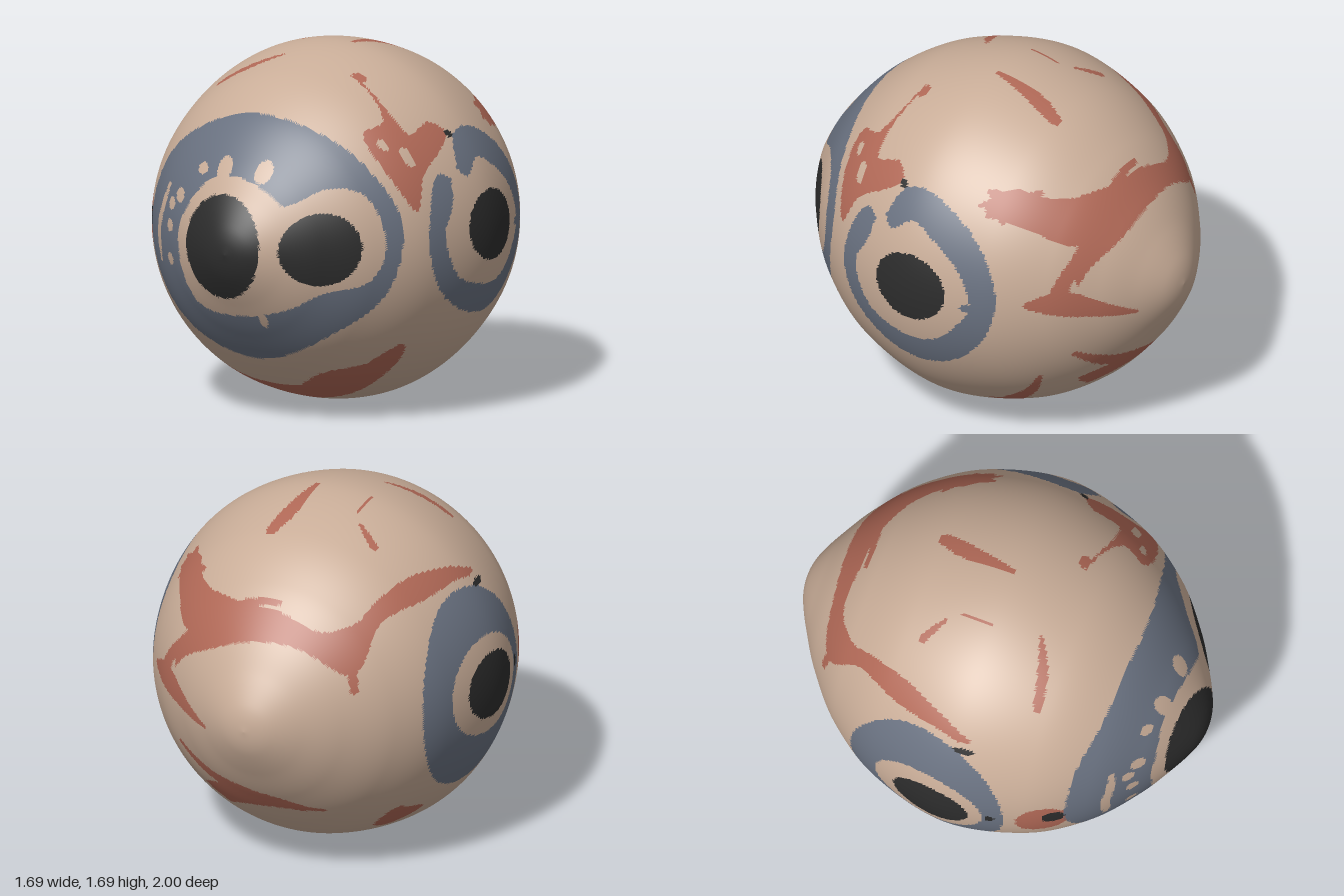
import * as THREE from 'three';

const CENTER_Y = 0.85;
const materials = {
  skin: new THREE.MeshStandardMaterial({ name: 'tan skin', color: 0xc9ad98 }),
  ring: new THREE.MeshStandardMaterial({ name: 'slate blue', color: 0x697180 }),
  pupil: new THREE.MeshStandardMaterial({ name: 'charcoal', color: 0x2c2c2c }),
  vein: new THREE.MeshStandardMaterial({ name: 'brick red', color: 0xb06856 }),
};
const partNames = { skin: 'body', ring: 'eyeRings', pupil: 'pupils', vein: 'veins' };

// A painting direction: axes for flat marks that are projected onto the body
function direction(azimuth, elevation) {
  const a = THREE.MathUtils.degToRad(azimuth), e = THREE.MathUtils.degToRad(elevation);
  return {
    facing: new THREE.Vector3(Math.sin(a) * Math.cos(e), Math.sin(e), Math.cos(a) * Math.cos(e)),
    right: new THREE.Vector3(Math.cos(a), 0, -Math.sin(a)),
    up: new THREE.Vector3(-Math.sin(a) * Math.sin(e), Math.cos(e), -Math.cos(a) * Math.sin(e)),
  };
}
const front = direction(0, 0), left = direction(90, 0), right = direction(-90, 0);
const top = direction(0, 90), backRight = direction(-145, 25), under = direction(145, -30);

// Marks are in hundredths of a unit around the body's centre; later ones cover earlier ones
const marks = [];

// Ellipse
function spot(dir, color, cu, cv, ru, rv) {
  marks.push({ dir, color, inside: (u, v) => ((u - cu) / ru) ** 2 + ((v - cv) / rv) ** 2 < 1 });
}

// Closed smooth outline through u, v pairs
function blob(dir, color, ...n) {
  const corners = [];
  for (let i = 0; i < n.length; i += 2) corners.push(new THREE.Vector3(n[i], n[i + 1], 0));
  const p = new THREE.CatmullRomCurve3(corners, true).getPoints(corners.length * 4);
  const inside = (u, v) => {
    let hit = false;
    for (let i = 0, j = p.length - 1; i < p.length; j = i++) {
      if ((p[i].y > v) !== (p[j].y > v) &&
        u < (p[j].x - p[i].x) * (v - p[i].y) / (p[j].y - p[i].y) + p[i].x) hit = !hit;
    }
    return hit;
  };
  marks.push({ dir, color, inside });
}

// Tapering brush stroke through u, v, half-width triples
function stroke(dir, color, ...n) {
  const knots = [];
  for (let i = 0; i < n.length; i += 3) knots.push(new THREE.Vector3(n[i], n[i + 1], n[i + 2]));
  const p = new THREE.CatmullRomCurve3(knots).getPoints(knots.length * 4);
  const inside = (u, v) => p.some((a, i) => {
    if (i === 0) return false;
    const b = p[i - 1], du = b.x - a.x, dv = b.y - a.y;
    const t = THREE.MathUtils.clamp(((u - a.x) * du + (v - a.y) * dv) / (du * du + dv * dv), 0, 1);
    return Math.hypot(u - a.x - t * du, v - a.y - t * dv) < a.z + t * (b.z - a.z);
  });
  marks.push({ dir, color, inside });
}

function paintVeins() {
  // front
  spot(front, 'vein', -71, 0, 6, 13);
  spot(front, 'pupil', -69, 3, 3, 5);
  stroke(front, 'vein', -45, -60, 1, -24, -70, 2.5, 0, -73, 3, 28, -68, 2, 58, -48, 1);
  spot(front, 'vein', -9, -79, 5, 4);
  // left side
  blob(left, 'vein', -28, 76, -38, 58, -50, 53, -52, 42, -44, 18, -36, 33, -12, 50, -19, 55, -32, 51, -33, 60);
  spot(left, 'skin', -46, 48, 2, 2.5);
  spot(left, 'skin', -39, 42, 2.5, 4.5);
  stroke(left, 'vein', 30, 54, 1, 42, 51, 3, 60, 48, 2.5, 71, 46, 4, 72, 30, 2, 69, 18, 2.5, 67, 6, 4);
  stroke(left, 'vein', 57, 5, 2, 68, 5, 6, 79, 0, 4, 90, -6, 1);
  // top
  stroke(top, 'vein', -66, -2, 1.5, -56, 30, 4, -45, 55, 3, -41, 69, 4, -15, 78, 2, 22, 79, 3, 46, 72, 2);
  stroke(top, 'vein', -4, 69, 1, 25, 71, 2, 42, 68, 2, 52, 52, 3, 62, 33, 1.5);
  stroke(top, 'vein', 44, 50, 1, 59, 39, 3);
  stroke(top, 'vein', -33, 29, 2, -23, 22, 1);
  stroke(top, 'vein', 15, 37, 3, 12, 26, 4, 9, 1, 1);
  stroke(top, 'vein', -43, -32, 2, -29, -29, 2.5, -15, -23, 1);
  spot(top, 'vein', -18.5, 8, 0.9, 8);
  spot(top, 'vein', 29, -27, 3.5, 2.5);
  // back
  stroke(backRight, 'vein', -66, 48, 2, -70, 36, 3, -61, 18, 8, -42, 17, 5, -20, 7, 2, 0, 10, 3, 14, 22, 3,
    30, 30, 3, 57, 33, 1.5);
  stroke(backRight, 'vein', -8, 6, 3, -6, -19, 2);
  stroke(backRight, 'vein', -75, -54, 2, -58, -62, 3, -26, -72, 1);
  // underneath
  stroke(under, 'vein', 3, 20, 1.5, 22, 8, 4, 41, 0, 4, 61, -20, 1);
  stroke(under, 'vein', -11, 3, 1, -12, -12, 3, -15, -32, 5, -7, -47, 1);
  spot(under, 'vein', -20, -35, 5, 3);
  stroke(under, 'vein', 67, -42, 1, 57, -53, 4, 50, -58, 1);
  stroke(under, 'vein', -70, -40, 1, -52, -63, 4, -25, -78, 3, -2, -82, 1);
}

function paintEyes() {
  // front ring with its ragged double opening and loose spots
  blob(front, 'ring', 2, 60, 42, 47, 67, 15, 62, -19, 39, -39, 0, -54.5, -45, -38, -66, -3, -56, 34, -26, 55);
  blob(front, 'skin', -34, 3, -28, 19, -16, 32, 0, 34, 18, 27, 24, 23, 40, 31, 54, 27, 63, 4, 57, -13,
    40, -18, 25, -26, 0, -31, -25, -27);
  for (const u of [-10.5, 10.5]) spot(front, 'skin', u, 37, 4.3, 5);
  spot(front, 'skin', 12, -32, 2, 4);
  spot(front, 'skin', -24, 35, 3.3, 2.5);
  spot(front, 'skin', -36, 21, 3.3, 3.3);
  for (const v of [16, 6, -10]) spot(front, 'skin', -42, v, 2.6, 3);
  stroke(front, 'skin', -47, 23, 1.2, -53, 3, 2, -52, -13, 1);
  spot(front, 'pupil', -5.5, 2, 21.5, 24.3);
  spot(front, 'pupil', 39.5, 3, 15.8, 17);

  // left ring, open at the upper front
  blob(left, 'ring', -40, 5, -32, -20, -8, -35, 18, -34, 39, -14, 44, 10, 32, 34, 5, 50, -9, 48, -19, 31,
    -29, 33);
  blob(left, 'skin', -31, 5, -23, -14, -8, -21, 13, -21, 26, -10, 33, 3, 25, 21, 9, 33, 0, 37, -11, 30,
    -19, 36, -24, 20);
  spot(left, 'ring', 31, 1.5, 2.5, 2);
  spot(left, 'pupil', 2.5, 5.5, 18.7, 16.5);
  spot(left, 'pupil', -11, 49, 2, 1.7);

  // right ring
  spot(right, 'ring', -11, 1, 40, 48);
  spot(right, 'skin', -8, 2.5, 27.5, 24);
  spot(right, 'pupil', -6, 2, 19, 16);
  spot(right, 'pupil', 6, 47, 5, 1.3);
  spot(right, 'pupil', 23, 2, 2, 3);
}
paintVeins();
paintEyes();

// Body: a ball drawn out to a blunt point at front and back
function buildBall() {
  const half = [[0, 1], [0.07, 0.99], [0.14, 0.965], [0.25, 0.905], [0.41, 0.8], [0.6, 0.627], [0.76, 0.37]];
  const profile = [...half.map(([r, z]) => [r, -z]), [0.843, 0], ...half.slice().reverse()];
  const curve = new THREE.SplineCurve(profile.map(([r, z]) => new THREE.Vector2(r, z)));
  const points = curve.getSpacedPoints(170);
  points[0].x = points[170].x = 0;
  return new THREE.LatheGeometry(points, 410).rotateX(Math.PI / 2);
}

export function createModel() {
  const group = new THREE.Group();
  group.name = 'eyedBall';
  const ball = buildBall();

  // Sort the faces by the colour painted over them
  const faces = { skin: [], ring: [], pupil: [], vein: [] };
  const index = ball.index, position = ball.attributes.position;
  const tri = new THREE.Triangle(), mid = new THREE.Vector3(), normal = new THREE.Vector3();
  for (let i = 0; i < index.count; i += 3) {
    const corners = [index.getX(i), index.getX(i + 1), index.getX(i + 2)];
    tri.setFromAttributeAndIndices(position, ...corners);
    if (tri.getArea() < 1e-10) continue;
    tri.getMidpoint(mid);
    tri.getNormal(normal);
    const mark = marks.findLast(({ dir, inside }) => normal.dot(dir.facing) > 0 &&
      inside(mid.dot(dir.right) * 100, mid.dot(dir.up) * 100));
    faces[mark ? mark.color : 'skin'].push(...corners);
  }

  // One mesh per colour, sharing the body's smooth normals
  for (const key of Object.keys(faces)) {
    const geometry = new THREE.BufferGeometry();
    geometry.setAttribute('position', position);
    geometry.setAttribute('normal', ball.attributes.normal);
    geometry.setIndex(faces[key]);
    const mesh = new THREE.Mesh(geometry, materials[key]);
    mesh.name = partNames[key];
    mesh.position.y = CENTER_Y;
    group.add(mesh);
  }
  return group;
}
